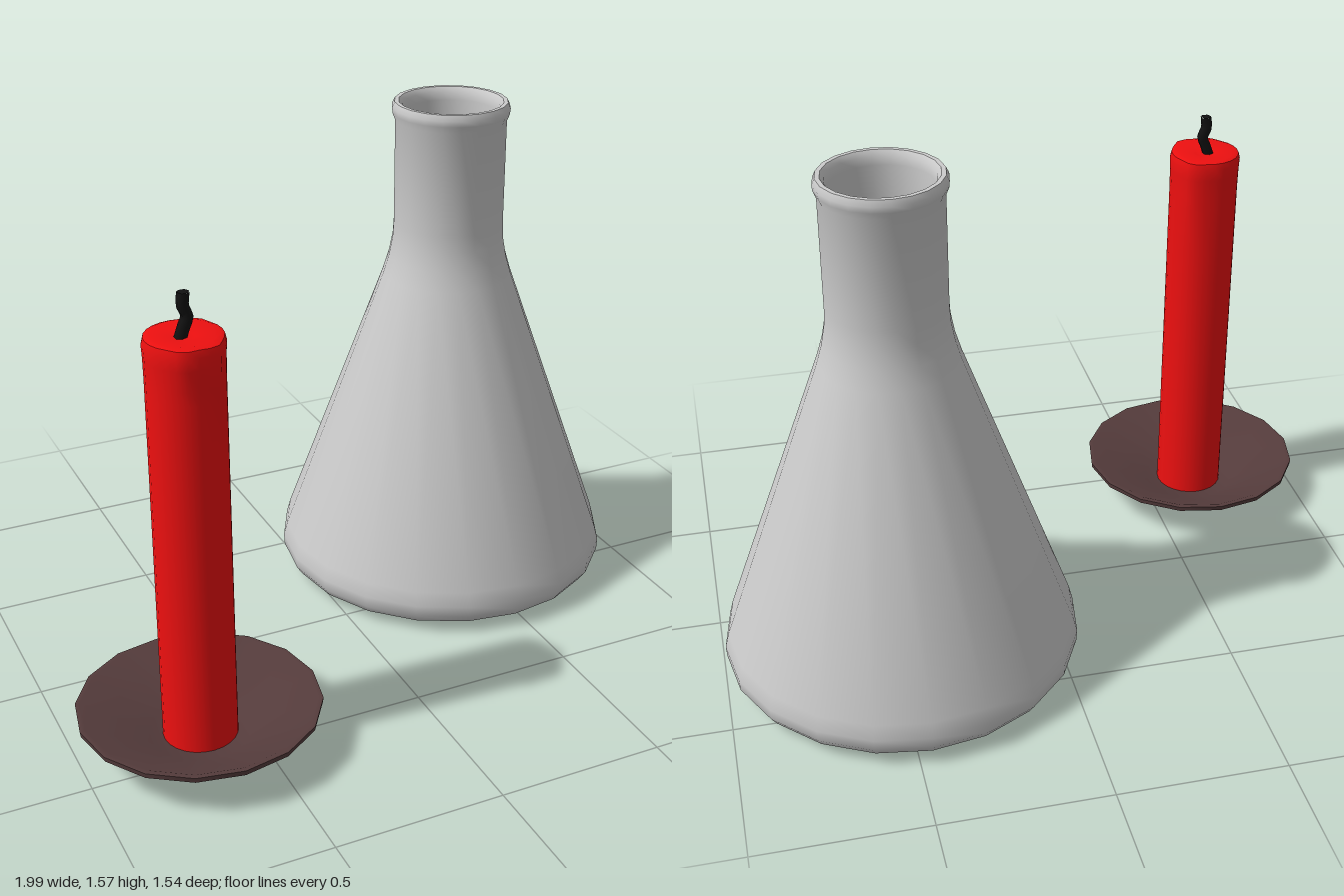
import * as THREE from 'three';
import { toCreasedNormals } from 'three/addons/utils/BufferGeometryUtils.js';

const mat = (color) => new THREE.MeshStandardMaterial({ color });

// Turn a [radius, height] profile; normals stay sharp above the crease angle
function lathe(profile, sides) {
  return new THREE.LatheGeometry(profile.map(([r, y]) => new THREE.Vector2(r, y)), sides);
}

function part(name, geometry, material) {
  const mesh = new THREE.Mesh(geometry, material);
  mesh.name = name;
  return mesh;
}

function makeFlask() {
  // Outer wall up to the lip, then the inner wall back down to the floor
  const profile = [
    [0, 0.015], [0.44, 0.015], [0.475, 0.02], [0.51, 0.038], [0.528, 0.065], [0.53, 0.1], [0.518, 0.145],
    [0.203, 1.02], [0.185, 1.08], [0.174, 1.14], [0.171, 1.19], [0.171, 1.515],
    [0.179, 1.535], [0.181, 1.553], [0.173, 1.57], [0.16, 1.57], [0.149, 1.555], [0.147, 1.53],
    [0.147, 1.15], [0.175, 1.03], [0.492, 0.14], [0.5, 0.09], [0.47, 0.05], [0, 0.045],
  ];
  const flask = part('flask', toCreasedNormals(lathe(profile, 20), 0.75), mat(0xcccccc));
  flask.position.set(0.463, 0, -0.24);
  return flask;
}

function makeCandle() {
  const candle = new THREE.Group();
  candle.name = 'candle';
  candle.position.set(-0.652, 0, 0.418);

  // Wide dish on a small foot
  const dish = [
    [0, 0.005], [0.16, 0.005], [0.168, 0.022], [0.347, 0.122], [0.349, 0.137], [0.335, 0.138],
    [0.146, 0.04], [0, 0.036],
  ];
  candle.add(part('candleDish', toCreasedNormals(lathe(dish, 16), 0.6), mat(0x553c3c)));

  // Wax column, with drips swelling out below the rim
  const wax = lathe([
    [0.107, 0.036], [0.107, 0.95], [0.107, 1.1], [0.107, 1.14], [0.108, 1.2], [0.11, 1.235],
    [0.105, 1.255], [0.092, 1.26], [0.03, 1.25], [0, 1.25],
  ], 24);
  const drips = [ // angle from +z toward +x, lowest point, swelling
    { angle: 0.46, low: 1.12, swell: 0.012 },
    { angle: 2.5, low: 1.0, swell: 0.009 },
    { angle: -0.3, low: 1.18, swell: 0.01 },
  ];
  const p = wax.attributes.position;
  for (let i = 0; i < p.count; i++) {
    const x = p.getX(i), y = p.getY(i), z = p.getZ(i), r = Math.hypot(x, z);
    if (r < 0.1) continue;
    let scale = 1;
    for (const { angle, low, swell } of drips) {
      const near = Math.cos(Math.atan2(x, z) - angle);
      if (y > low && near > 0.93) scale += (swell / r) * (near - 0.93) / 0.07;
    }
    p.setX(i, x * scale);
    p.setZ(i, z * scale);
  }
  candle.add(part('wax', toCreasedNormals(wax, 0.7), mat(0xee1010)));

  // Curled wick with a closed tip
  const path = new THREE.CatmullRomCurve3([
    [-0.012, 1.24], [0, 1.275], [0.011, 1.305], [0, 1.335], [0.003, 1.372],
  ].map(([x, y]) => new THREE.Vector3(x, y, 0)));
  const black = mat(0x111111);
  candle.add(part('wick', new THREE.TubeGeometry(path, 10, 0.017, 6), black));
  const tip = part('wickTip', new THREE.CircleGeometry(0.017, 6), black);
  tip.rotation.x = -Math.PI / 2;
  tip.position.set(0.003, 1.372, 0);
  candle.add(tip);
  return candle;
}

export function createModel() {
  const model = new THREE.Group();
  model.name = 'flaskAndCandle';
  model.add(makeFlask(), makeCandle());
  return model;
}
